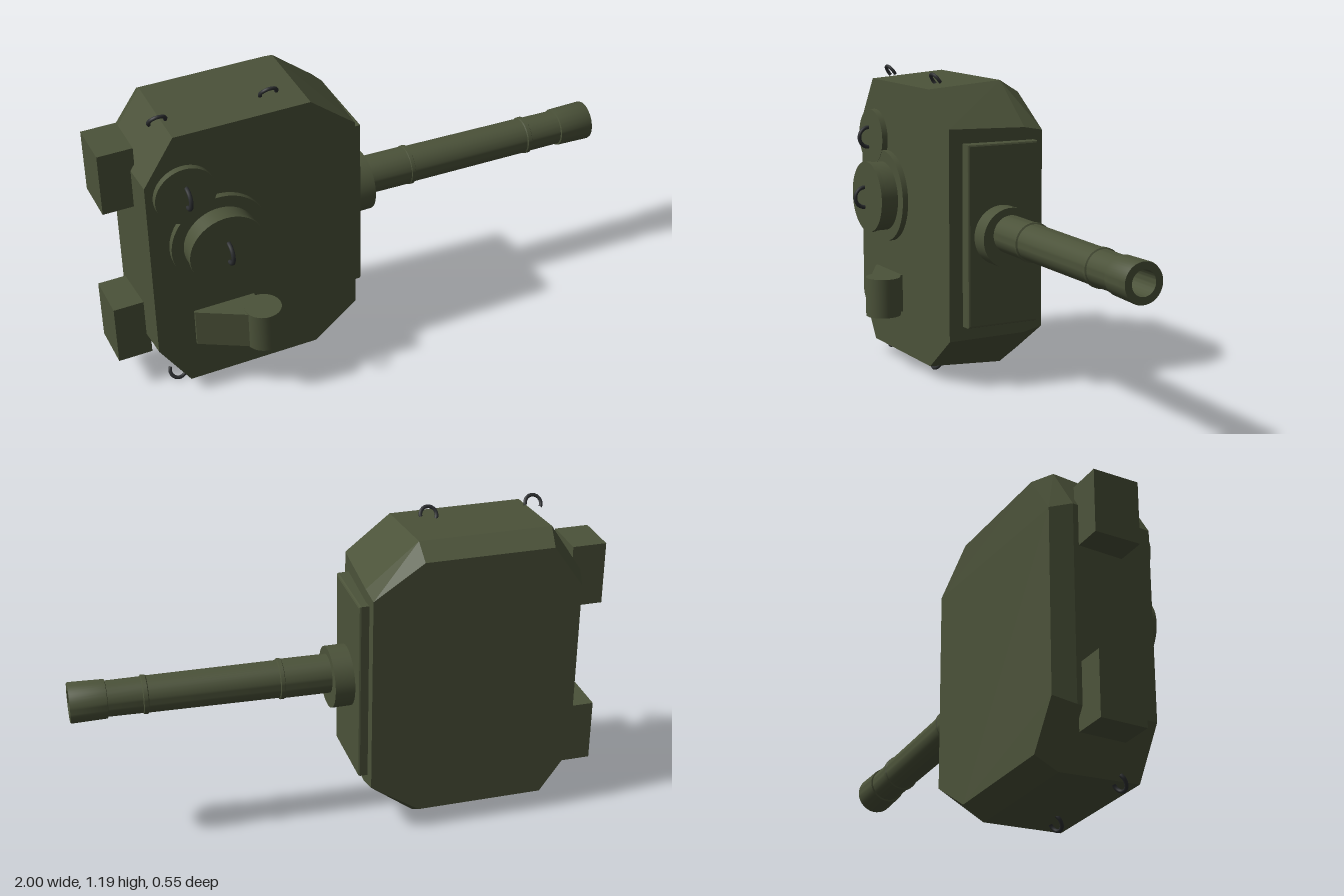
import * as THREE from 'three';
import { toCreasedNormals } from 'three/addons/utils/BufferGeometryUtils.js';
import { ConvexGeometry } from 'three/addons/geometries/ConvexGeometry.js';

const MID = 0.599; // height of the mirror plane
const paint = new THREE.MeshStandardMaterial({ color: 0x4b5239 });
const iron = new THREE.MeshStandardMaterial({ color: 0x2c2e30 });

export function createModel() {
  const root = new THREE.Group();

  const add = (name, geo, x = 0, y = 0, z = 0, mat = paint, parent = root) => {
    const mesh = new THREE.Mesh(geo, mat);
    mesh.name = name;
    mesh.position.set(x, y, z);
    parent.add(mesh);
    return mesh;
  };
  // Solid of revolution from [radius, height] pairs, keeping edges sharp
  const lathe = (pts, seg = 48) => toCreasedNormals(
    new THREE.LatheGeometry(pts.map(([r, h]) => new THREE.Vector2(r, h)), seg), 0.5);
  // Side outline in x/z pulled along y, centred on y = 0
  const slab = (shape, depth, options) => new THREE.ExtrudeGeometry(shape, { depth, ...options });

  // Armoured body: three octagonal sections, [z, rear, rearCorner, frontCorner, front, halfHeight, halfRear, halfFront]
  const corners = [];
  for (const [z, xr, xrc, xfc, xf, h, hr, hf] of [
    [0.12, -0.88, -0.765, -0.255, -0.085, 0.543, 0.365, 0.408],
    [-0.195, -0.895, -0.77, -0.265, -0.07, 0.564, 0.375, 0.401],
    [-0.275, -0.87, -0.755, -0.265, -0.075, 0.514, 0.35, 0.386],
  ]) {
    for (const s of [-1, 1]) {
      for (const [x, y] of [[xr, hr], [xrc, h], [xfc, h], [xf, hf]]) {
        corners.push(new THREE.Vector3(x, MID + s * y, z));
      }
    }
  }
  add('body', new ConvexGeometry(corners));

  // Gun shield plate with a small bevel
  const plate = new THREE.Shape();
  plate.moveTo(-0.142, -0.344).lineTo(0.142, -0.344).lineTo(0.142, 0.344).lineTo(-0.142, 0.344);
  plate.closePath();
  const shield = slab(plate, 0.052, { bevelSize: 0.008, bevelThickness: 0.008, bevelSegments: 2 });
  shield.rotateY(Math.PI / 2);
  add('gunShield', shield, -0.095, MID, -0.085);

  // Collar around the barrel root
  const collar = add('gunCollar', new THREE.CylinderGeometry(0.116, 0.116, 0.085, 48), -0.003, MID, -0.077);
  collar.rotation.z = Math.PI / 2;

  // Barrel with bands, muzzle sleeve and open bore, slightly tilted
  const gun = new THREE.Group();
  gun.name = 'gun';
  gun.position.set(0, 0.614, -0.077);
  gun.rotation.y = -0.036;
  root.add(gun);
  const barrel = add('barrel', lathe([
    [0, 0], [0.073, 0], [0.073, 0.212], [0.076, 0.214], [0.076, 0.227], [0.07, 0.23],
    [0.068, 0.712], [0.072, 0.715], [0.072, 0.73], [0.067, 0.733], [0.066, 0.86],
    [0.072, 0.862], [0.075, 0.99], [0.073, 0.996], [0.046, 0.996], [0.044, 0.8], [0, 0.8],
  ]), 0, 0, 0, paint, gun);
  barrel.rotation.z = -Math.PI / 2;

  // Round hatches on the roof, facing +z
  const cupola = add('cupola', lathe([
    [0, 0], [0.183, 0], [0.183, 0.033], [0.138, 0.033], [0.138, 0.088],
    [0.142, 0.088], [0.142, 0.105], [0, 0.105],
  ], 64), -0.625, 0.682, 0.11);
  cupola.rotation.x = Math.PI / 2;
  const hatch = add('smallHatch', new THREE.CylinderGeometry(0.113, 0.113, 0.034, 48), -0.74, 0.907, 0.127);
  hatch.rotation.x = Math.PI / 2;

  // Curved grips on the hatches
  const grip = new THREE.TorusGeometry(0.04, 0.008, 8, 20, Math.PI);
  for (const [name, x, y, z] of [
    ['cupolaHandle', -0.625, 0.682, 0.226],
    ['smallHatchHandle', -0.74, 0.907, 0.154],
  ]) {
    const handle = add(name, grip, x, y, z, iron);
    handle.rotation.set(Math.PI / 2, Math.PI / 2, 0, 'YXZ');
    handle.rotation.set(0, 0, 0);
    handle.quaternion.setFromRotationMatrix(new THREE.Matrix4().makeBasis(
      new THREE.Vector3(0, 1, 0), new THREE.Vector3(0, 0, 1), new THREE.Vector3(1, 0, 0)));
  }

  // Lifting hooks on both flanks, leaning towards the roof
  const hookGeo = new THREE.TorusGeometry(0.031, 0.007, 8, 20, Math.PI * 1.25);
  hookGeo.rotateZ(-Math.PI * 0.05);
  for (const s of [-1, 1]) {
    for (const x of [-0.785, -0.375]) {
      const hook = add('liftingHook', hookGeo, x, MID + s * 0.562, 0.027, iron);
      hook.rotation.x = s > 0 ? 0.6 : Math.PI - 0.6;
    }
  }

  // Sight: ramp leading up to an upright drum
  const ramp = new THREE.Shape();
  ramp.moveTo(-0.735, -0.11).lineTo(-0.5, -0.11).lineTo(-0.5, -0.255)
    .lineTo(-0.55, -0.235).lineTo(-0.735, -0.13);
  ramp.closePath();
  const rampGeo = slab(ramp, 0.15, { bevelEnabled: false });
  rampGeo.rotateX(-Math.PI / 2);
  add('sightRamp', rampGeo, 0, 0.225, 0);
  add('sightDrum', new THREE.CylinderGeometry(0.069, 0.069, 0.156, 40), -0.5, 0.3, 0.206);

  // Stowage boxes on the rear
  for (const s of [-1, 1]) {
    add('rearBox', new THREE.BoxGeometry(0.13, 0.242, 0.175), -0.935, MID + s * 0.338, -0.087);
  }

  return root;
}
